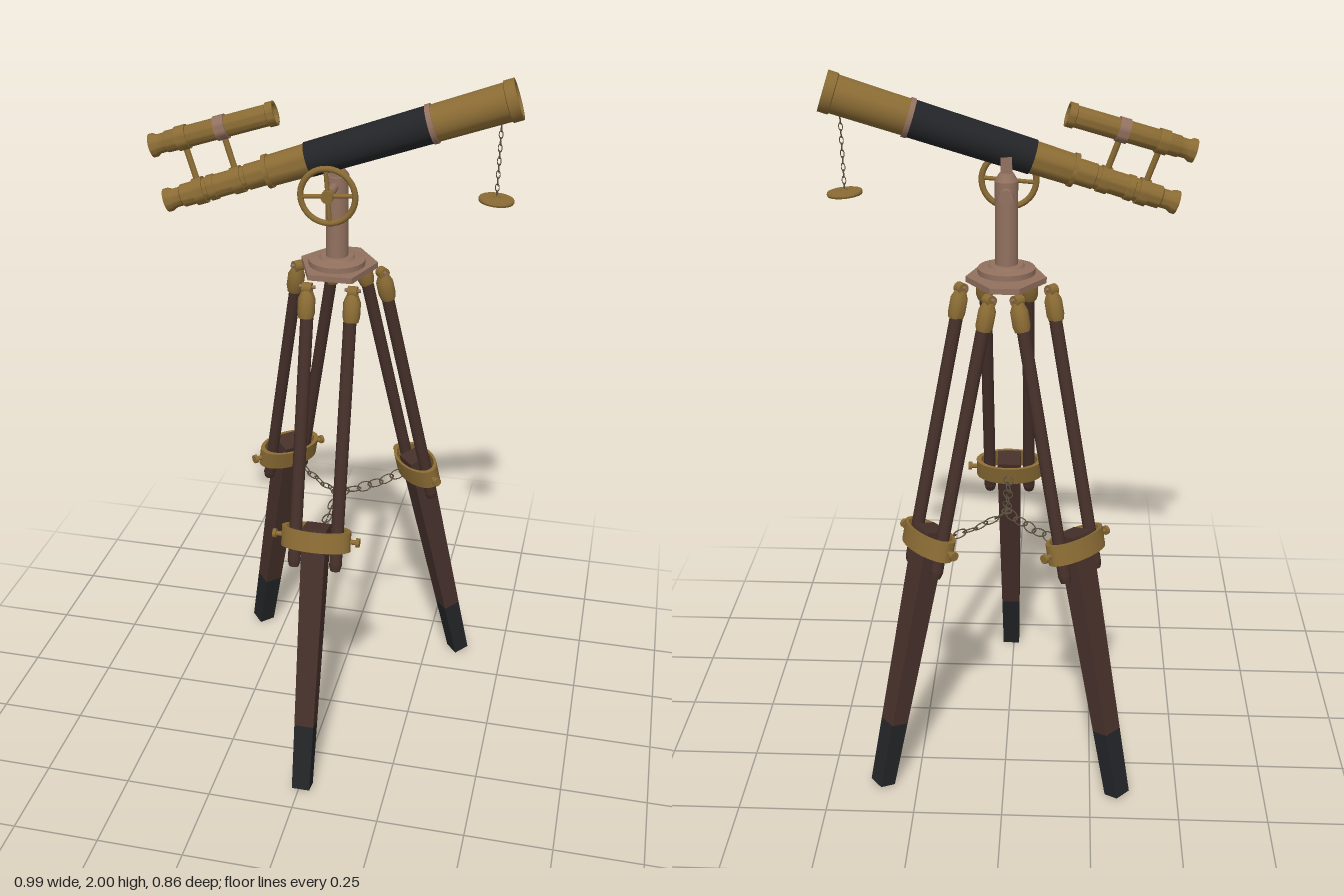
import * as THREE from 'three';
import { toCreasedNormals } from 'three/addons/utils/BufferGeometryUtils.js';

const V = (x, y, z) => new THREE.Vector3(x, y, z);
const material = (name, color) => {
  const m = new THREE.MeshStandardMaterial({ color });
  m.name = name;
  return m;
};

export function createModel() {
  const brass = material('brass', 0x8a6b34);
  const wood = material('dark wood', 0x46302a);
  const black = material('black', 0x232427);
  const copper = material('pale copper', 0x92715f);
  const steel = material('chain metal', 0x5c5140);

  const model = new THREE.Group();
  model.name = 'telescopeOnTripod';

  const add = (parent, name, geo, mat, x = 0, y = 0, z = 0) => {
    const m = new THREE.Mesh(geo, mat);
    m.name = name;
    m.position.set(x, y, z);
    parent.add(m);
    return m;
  };
  const group = (name, parent = model) => {
    const g = new THREE.Group();
    g.name = name;
    parent.add(g);
    return g;
  };
  const cyl = (rTop, rBottom, h, sides = 16) => new THREE.CylinderGeometry(rTop, rBottom, h, sides);
  const lathe = (pts, sides = 28) =>
    toCreasedNormals(new THREE.LatheGeometry(pts.map(p => new THREE.Vector2(p[0], p[1])), sides), 0.6);
  // Turned part whose axis lies along +x
  const turned = (pts, sides) => lathe(pts, sides).rotateZ(-Math.PI / 2);
  // Tapered square bar from y0 to y1
  const bar = (w0, d0, w1, d1, y0, y1) => {
    const g = new THREE.BoxGeometry(1, y1 - y0, 1).translate(0, (y0 + y1) / 2, 0);
    const p = g.attributes.position;
    for (let i = 0; i < p.count; i++) {
      const top = p.getY(i) > (y0 + y1) / 2;
      p.setX(i, p.getX(i) * (top ? w1 : w0));
      p.setZ(i, p.getZ(i) * (top ? d1 : d0));
    }
    g.computeVertexNormals();
    return g;
  };
  // Row of oval links along a curve, alternately turned
  const chain = (name, curve, count, size, wire) => {
    const g = group(name);
    for (let i = 0; i < count; i++) {
      const t = (i + 0.5) / count;
      const link = add(g, 'link', new THREE.TorusGeometry(size, wire, 5, 14).scale(1.5, 0.85, 1), steel);
      link.position.copy(curve.getPoint(t));
      link.quaternion.setFromUnitVectors(V(1, 0, 0), curve.getTangent(t));
      link.rotateX(i % 2 ? 0.35 : 1.3);
    }
  };

  // Tripod legs: each stands in a frame with y along the leg and z outward
  const hub = V(0.004, 0, -0.06);
  const legs = [
    ['frontLeg', V(0.009, 0.01, 0.41), V(0.008, 1.43, 0.045)],
    ['backRightLeg', V(-0.328, 0.01, -0.395), V(-0.075, 1.43, -0.148)],
    ['backLeftLeg', V(0.352, 0.01, -0.373), V(0.085, 1.43, -0.15)],
  ];
  for (const [name, foot, top] of legs) {
    const leg = group(name);
    const up = top.clone().sub(foot).normalize();
    const out = V(foot.x - top.x, 0, foot.z - top.z);
    const side = new THREE.Vector3().crossVectors(up, out).normalize();
    out.crossVectors(side, up);
    leg.position.copy(foot);
    leg.quaternion.setFromRotationMatrix(new THREE.Matrix4().makeBasis(side, up, out));

    add(leg, 'boot', bar(0.052, 0.048, 0.056, 0.053, 0, 0.2), black);
    add(leg, 'lowerBoard', bar(0.056, 0.053, 0.07, 0.068, 0.2, 0.8), wood);
    // Oval clamp band
    const band = new THREE.LatheGeometry(
      [[0.086, -0.029], [0.1, -0.029], [0.1, 0.029], [0.086, 0.029], [0.086, -0.029]]
        .map(p => new THREE.Vector2(p[0], p[1])), 32).scale(1, 1, 0.5);
    add(leg, 'clampBand', toCreasedNormals(band, 0.6), brass, 0, 0.765, 0);

    for (const s of [-1, 1]) {
      add(leg, 'rod', cyl(0.018, 0.018, 0.75, 10), wood, s * 0.06, 1.065, 0);
      add(leg, 'rodTip', cyl(0.019, 0.014, 0.02, 10), wood, s * 0.06, 0.685, 0);
      add(leg, 'clampBolt', cyl(0.007, 0.007, 0.03, 10).rotateZ(Math.PI / 2), brass, s * 0.108, 0.765, 0);
      add(leg, 'boltHead', cyl(0.013, 0.013, 0.01, 10).rotateZ(Math.PI / 2), brass, s * 0.12, 0.765, 0);
      // Brass socket with a hinge knuckle
      add(leg, 'socket', lathe([[0, 1.385], [0.02, 1.385], [0.024, 1.4], [0.024, 1.44], [0.015, 1.462], [0, 1.462]], 14),
        brass, s * 0.063, 0, 0);
      add(leg, 'knuckle', cyl(0.016, 0.016, 0.026, 12).rotateZ(Math.PI / 2), brass, s * 0.063, 1.468, 0);
      add(leg, 'hingePin', cyl(0.005, 0.005, 0.044, 8).rotateZ(Math.PI / 2), copper, s * 0.063, 1.472, 0);
    }

    // Spreader chain from the leg to the centre
    const start = foot.clone().addScaledVector(up, 0.765).addScaledVector(out, -0.05);
    const end = V(hub.x, 0.742, hub.z);
    const sag = start.clone().lerp(end, 0.5).setY(0.718);
    chain(name + 'Chain', new THREE.QuadraticBezierCurve3(start, sag, end),
      Math.round(start.distanceTo(end) / 0.04), 0.0165, 0.002);
  }
  add(model, 'chainRing', new THREE.TorusGeometry(0.014, 0.003, 6, 16).rotateX(Math.PI / 2), steel, hub.x, 0.742, hub.z);

  // Head plate, collar and post
  const plate = new THREE.Shape([[-0.055, 0.04], [0.067, 0.04], [0.112, -0.095], [0.042, -0.196], [-0.036, -0.196], [-0.105, -0.095]]
    .map(p => new THREE.Vector2(p[0], -p[1])));
  add(model, 'headPlate', new THREE.ExtrudeGeometry(plate, { depth: 0.016, bevelEnabled: false }).rotateX(-Math.PI / 2),
    copper, 0, 1.452, 0);
  add(model, 'headCollar', lathe([[0, 0], [0.078, 0], [0.078, 0.015], [0.05, 0.019], [0.045, 0.026], [0, 0.026]], 24),
    copper, hub.x, 1.468, hub.z);
  add(model, 'post', cyl(0.031, 0.031, 0.235, 20), copper, hub.x, 1.603, hub.z);
  add(model, 'postCap', cyl(0.02, 0.031, 0.02, 20), copper, hub.x, 1.73, hub.z);
  add(model, 'tubeBracket', new THREE.BoxGeometry(0.03, 0.06, 0.04), copper, hub.x, 1.755, -0.045);

  // Hand wheel on its shaft
  const wheel = group('handWheel');
  wheel.position.set(0.002, 1.695, 0.045);
  add(wheel, 'rim', new THREE.TorusGeometry(0.074, 0.0085, 8, 36), brass);
  add(wheel, 'hub', cyl(0.017, 0.017, 0.026, 14).rotateX(Math.PI / 2), brass);
  for (let i = 0; i < 2; i++)
    add(wheel, 'spoke', cyl(0.006, 0.006, 0.144, 8), brass).rotation.z = i * Math.PI / 2 + 0.08;
  add(model, 'shaft', cyl(0.012, 0.012, 0.17, 14).rotateX(Math.PI / 2), copper, 0.002, 1.695, -0.035);
  add(model, 'shaftKnob', cyl(0.019, 0.019, 0.022, 14).rotateX(Math.PI / 2), copper, 0.002, 1.695, -0.125);

  // Telescope: x runs from the eyepiece to the open front end
  const scope = group('telescope');
  const eye = V(-0.45, 1.643, 0.025);
  const axis = V(0.478, 1.953, -0.065).sub(eye).normalize();
  const across = new THREE.Vector3().crossVectors(axis, V(0, 1, 0)).normalize();
  const above = new THREE.Vector3().crossVectors(across, axis);
  scope.position.copy(eye);
  scope.quaternion.setFromRotationMatrix(new THREE.Matrix4().makeBasis(axis, above, across));
  scope.rotateX(-0.13);

  add(scope, 'eyepiece', turned([[0, 0.012], [0.016, 0.012], [0.022, 0], [0.032, 0], [0.032, 0.012], [0.026, 0.024],
    [0.026, 0.045], [0.031, 0.05], [0.031, 0.125], [0.035, 0.127], [0.035, 0.145], [0.032, 0.147], [0.032, 0.235],
    [0.035, 0.237], [0.035, 0.29], [0.042, 0.292], [0.044, 0.415]]), brass);
  add(scope, 'eyepieceLens', turned([[0, 0.0105], [0.0155, 0.0105], [0.0155, 0.013]], 20), black);
  add(scope, 'rearRing', turned([[0.04, 0.29], [0.046, 0.29], [0.046, 0.302], [0.04, 0.302]]), brass);
  add(scope, 'blackTube', turned([[0.044, 0.41], [0.047, 0.41], [0.05, 0.745], [0.046, 0.745]]), black);
  add(scope, 'frontRing', turned([[0.045, 0.743], [0.053, 0.743], [0.053, 0.757], [0.045, 0.757]]), copper);
  add(scope, 'dewShield', turned([[0.049, 0.755], [0.051, 0.95], [0.055, 0.952], [0.055, 0.98], [0.047, 0.98], [0.045, 0.9]]), brass);
  add(scope, 'frontLens', turned([[0.046, 0.905], [0, 0.912]]), black);

  // Finder scope on two pillars
  const finder = group('finder', scope);
  finder.position.set(0.01, 0.15, 0);
  finder.rotation.z = -0.03;
  add(finder, 'finderTube', turned([[0, 0.01], [0.016, 0.01], [0.02, 0], [0.032, 0], [0.032, 0.01], [0.026, 0.02],
    [0.026, 0.04], [0.029, 0.045], [0.029, 0.33], [0.033, 0.332], [0.033, 0.352], [0.026, 0.352], [0.025, 0.335]]), brass);
  add(finder, 'finderBackLens', turned([[0, 0.0085], [0.0155, 0.0085], [0.0155, 0.011]], 20), black);
  add(finder, 'finderLens', turned([[0.026, 0.337], [0, 0.34]]), black);
  for (const [x, mat] of [[0.09, brass], [0.2, copper]])
    add(finder, 'finderCollar', turned([[0.027, -0.015], [0.033, -0.015], [0.033, 0.015], [0.027, 0.015]]), mat, x);
  for (const x of [0.1, 0.21]) {
    add(scope, 'pillar', cyl(0.0085, 0.0085, 0.105, 12), brass, x, 0.085, 0);
    add(scope, 'pillarClamp', turned([[0.03, -0.014], [0.0365, -0.014], [0.0365, 0.014], [0.03, 0.014]]), brass, x);
  }

  // Lens cap hanging on a fine chain
  chain('capChain', new THREE.LineCurve3(V(0.435, 1.885, -0.06), V(0.432, 1.69, -0.06)), 11, 0.0068, 0.0014);
  const cap = add(model, 'lensCap', lathe([[0, -0.005], [0.046, -0.005], [0.048, 0], [0.046, 0.005], [0.01, 0.007],
    [0.008, 0.012], [0, 0.012]]), brass, 0.432, 1.683, -0.06);
  cap.rotation.z = -0.08;

  return model;
}
